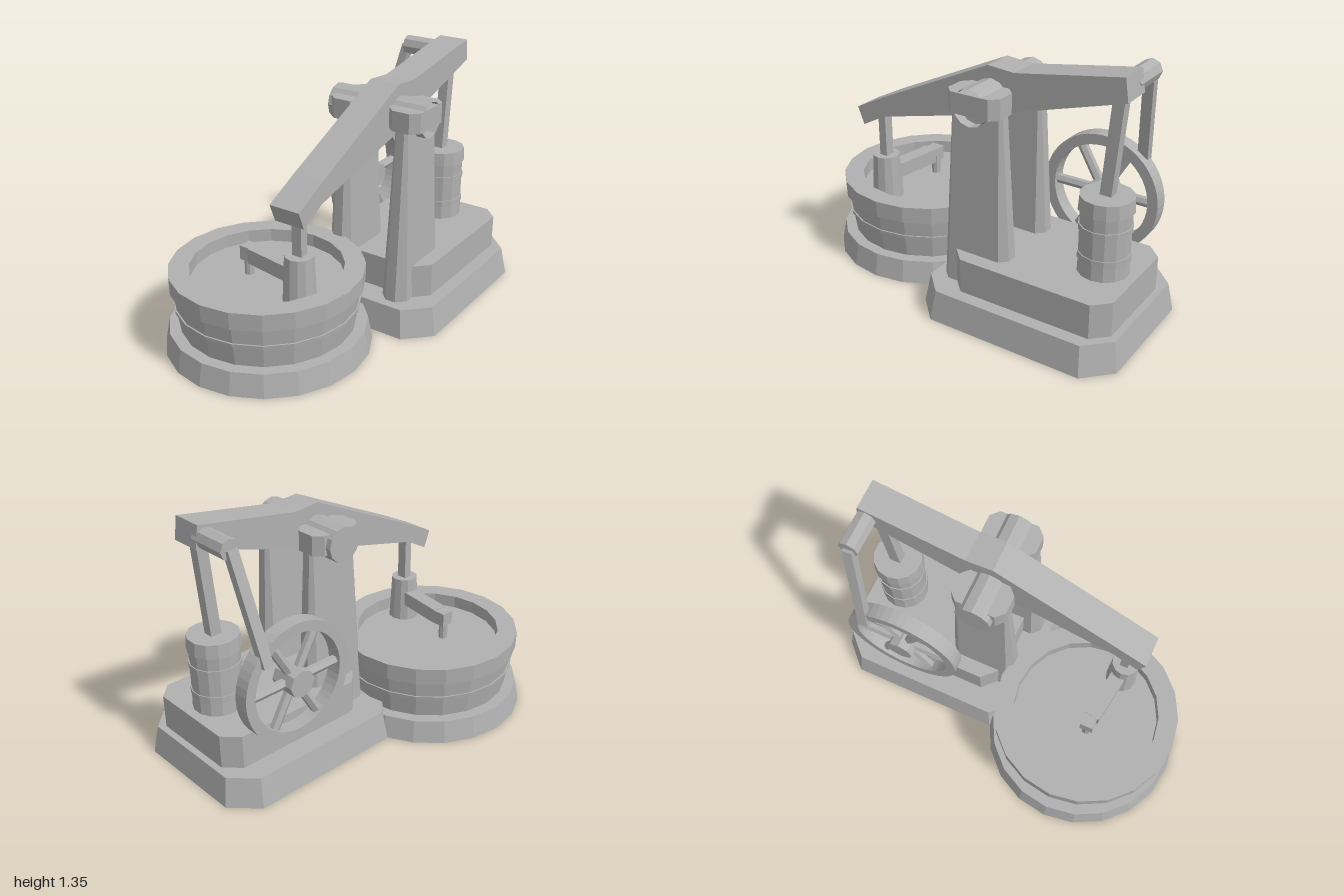
import * as THREE from 'three';
import { ConvexGeometry } from 'three/addons/geometries/ConvexGeometry.js';

export function createModel() {
  const model = new THREE.Group();
  const grey = new THREE.MeshStandardMaterial({ color: 0xb0b0b0, flatShading: true, side: THREE.DoubleSide });
  grey.name = 'stone grey';

  function add(name, geometry, parent = model) {
    const mesh = new THREE.Mesh(geometry, grey);
    mesh.name = name;
    parent.add(mesh);
    return mesh;
  }

  // Rectangle with cut corners at height y
  function cutRect(cx, cz, hx, hz, cut, y) {
    const pts = [];
    for (const sx of [-1, 1]) for (const sz of [-1, 1]) {
      pts.push(new THREE.Vector3(cx + sx * (hx - cut), y, cz + sz * hz));
      pts.push(new THREE.Vector3(cx + sx * hx, y, cz + sz * (hz - cut)));
    }
    return pts;
  }

  // Block between two cut rectangles: each is [half x, half z, cut, y]
  const block = (name, cx, cz, low, high) =>
    add(name, new ConvexGeometry([...cutRect(cx, cz, ...low), ...cutRect(cx, cz, ...high)]));

  // Remove the faces lying on the ground, leaving a hollow shell
  function openBottom(mesh) {
    const p = mesh.geometry.attributes.position.array;
    const kept = [];
    for (let i = 0; i < p.length; i += 9) {
      if (Math.max(p[i + 1], p[i + 4], p[i + 7]) > 0.001) kept.push(...p.slice(i, i + 9));
    }
    mesh.geometry = new THREE.BufferGeometry();
    mesh.geometry.setAttribute('position', new THREE.Float32BufferAttribute(kept, 3));
    mesh.geometry.computeVertexNormals();
  }

  // Turned part from [radius, y] pairs
  const lathe = (pairs, sides) =>
    new THREE.LatheGeometry(pairs.map(([r, y]) => new THREE.Vector2(r, y)), sides);
  const turned = (name, pairs, sides, x, z) => add(name, lathe(pairs, sides)).position.set(x, 0, z);

  // Square bar between two points
  function bar(name, a, b, wx, wz) {
    const from = new THREE.Vector3(...a), to = new THREE.Vector3(...b);
    const mesh = add(name, new THREE.BoxGeometry(wx, from.distanceTo(to), wz));
    mesh.position.copy(from).add(to).multiplyScalar(0.5);
    mesh.quaternion.setFromUnitVectors(new THREE.Vector3(0, 1, 0), to.sub(from).normalize());
  }

  // Cylinder lying along z
  function axle(name, r, sides, x, y, z0, z1, parent = model) {
    const g = new THREE.CylinderGeometry(r, r, z1 - z0, sides).rotateX(Math.PI / 2);
    add(name, g, parent).position.set(x, y, (z0 + z1) / 2);
  }

  // Stepped base, hollow underneath
  openBottom(block('base', 0.45, 0.171, [0.55, 0.442, 0.13, 0], [0.525, 0.412, 0.12, 0.154]));
  block('upperBase', 0.505, 0.197, [0.435, 0.318, 0.078, 0.154], [0.435, 0.318, 0.078, 0.335]);

  // Water tub: hollow foot, banded drum and open basin
  turned('tubFoot', [[0.532, 0], [0.508, 0.12], [0, 0.12]], 20, -0.467, -0.083);
  turned('waterTub', [
    [0.448, 0.12], [0.463, 0.23], [0.472, 0.23], [0.474, 0.25], [0.466, 0.25],
    [0.476, 0.34], [0.493, 0.34], [0.495, 0.43], [0.39, 0.43], [0.39, 0.36], [0, 0.36],
  ], 20, -0.467, -0.083);

  // Pump post, spout arm and tip in the basin
  turned('pumpPost', [[0.084, 0.36], [0.072, 0.605], [0, 0.605]], 12, -0.565, 0.195);
  const arm = add('spoutArm', new THREE.BoxGeometry(0.08, 0.08, 0.32));
  arm.position.set(-0.537, 0.492, 0.03);
  arm.rotation.y = -0.15;
  add('spoutHead', new THREE.BoxGeometry(0.07, 0.075, 0.07)).position.set(-0.508, 0.492, -0.158);
  add('spoutTip', new THREE.CylinderGeometry(0.024, 0.024, 0.09, 8)).position.set(-0.507, 0.415, -0.165);
  bar('pumpRod', [-0.562, 0.58, 0.195], [-0.562, 0.87, 0.195], 0.045, 0.055);

  // Pair of tapering columns with bearing blocks
  for (const z of [0.37, 0.025]) {
    block('column', 0.171, z, [0.195, 0.074, 0.045, 0.154], [0.142, 0.036, 0.014, 1.072]);
    block('bearingBlock', 0.171, z, [0.145, 0.09, 0.042, 1.07], [0.145, 0.09, 0.042, 1.175]);
  }

  // Beam axle, a tube closed only at the back
  add('beamAxle', lathe([[0, -0.097], [0.094, -0.097], [0.094, 0.459]], 12).rotateX(Math.PI / 2))
    .position.set(0.172, 1.112, 0);

  // Rocking beam
  const profile = new THREE.Shape([
    [-0.635, 0.787], [-0.5, 0.86], [0.02, 0.985], [0.18, 1.02], [0.32, 1.068], [0.877, 1.23],
    [0.86, 1.345], [0.3, 1.255], [0.155, 1.267], [-0.49, 0.97], [-0.672, 0.88],
  ].map(([x, y]) => new THREE.Vector2(x, y)));
  add('rockingBeam', new THREE.ExtrudeGeometry(profile, { depth: 0.166, bevelEnabled: false }))
    .position.z = 0.113;

  // Steam cylinder with bands, and its piston rod
  turned('steamCylinder', [
    [0.13, 0.335], [0.127, 0.41], [0.132, 0.41], [0.132, 0.445], [0.127, 0.445], [0.127, 0.56],
    [0.132, 0.56], [0.132, 0.59], [0.126, 0.59], [0.128, 0.662], [0.137, 0.662],
    [0.132, 0.735], [0, 0.735],
  ], 14, 0.766, 0.2);
  bar('pistonRod', [0.764, 0.7, 0.197], [0.81, 1.24, 0.197], 0.06, 0.055);

  // Crank pin and connecting rod
  axle('crankPin', 0.053, 8, 0.822, 1.275, -0.072, 0.15);
  bar('connectingRod', [0.758, 0.715, -0.203], [0.82, 1.275, -0.068], 0.055, 0.045);

  // Flywheel
  const wheel = new THREE.Group();
  wheel.name = 'flywheel';
  wheel.position.set(0.567, 0.55, -0.16);
  model.add(wheel);
  const ring = new THREE.Shape().absarc(0, 0, 0.317, 0, Math.PI * 2);
  ring.holes.push(new THREE.Path().absarc(0, 0, 0.262, 0, Math.PI * 2, true));
  add('rim', new THREE.ExtrudeGeometry(ring, { depth: 0.08, bevelEnabled: false, curveSegments: 24 }), wheel)
    .position.z = -0.04;
  axle('hub', 0.073, 8, 0, 0, -0.066, 0.074, wheel);
  for (let i = 0; i < 6; i++) {
    const spoke = new THREE.CylinderGeometry(0.026, 0.026, 0.23, 6).rotateZ(Math.PI / 2).translate(0.16, 0, 0);
    add('spoke', spoke, wheel).rotation.z = (i * Math.PI) / 3;
  }
  return model;
}
